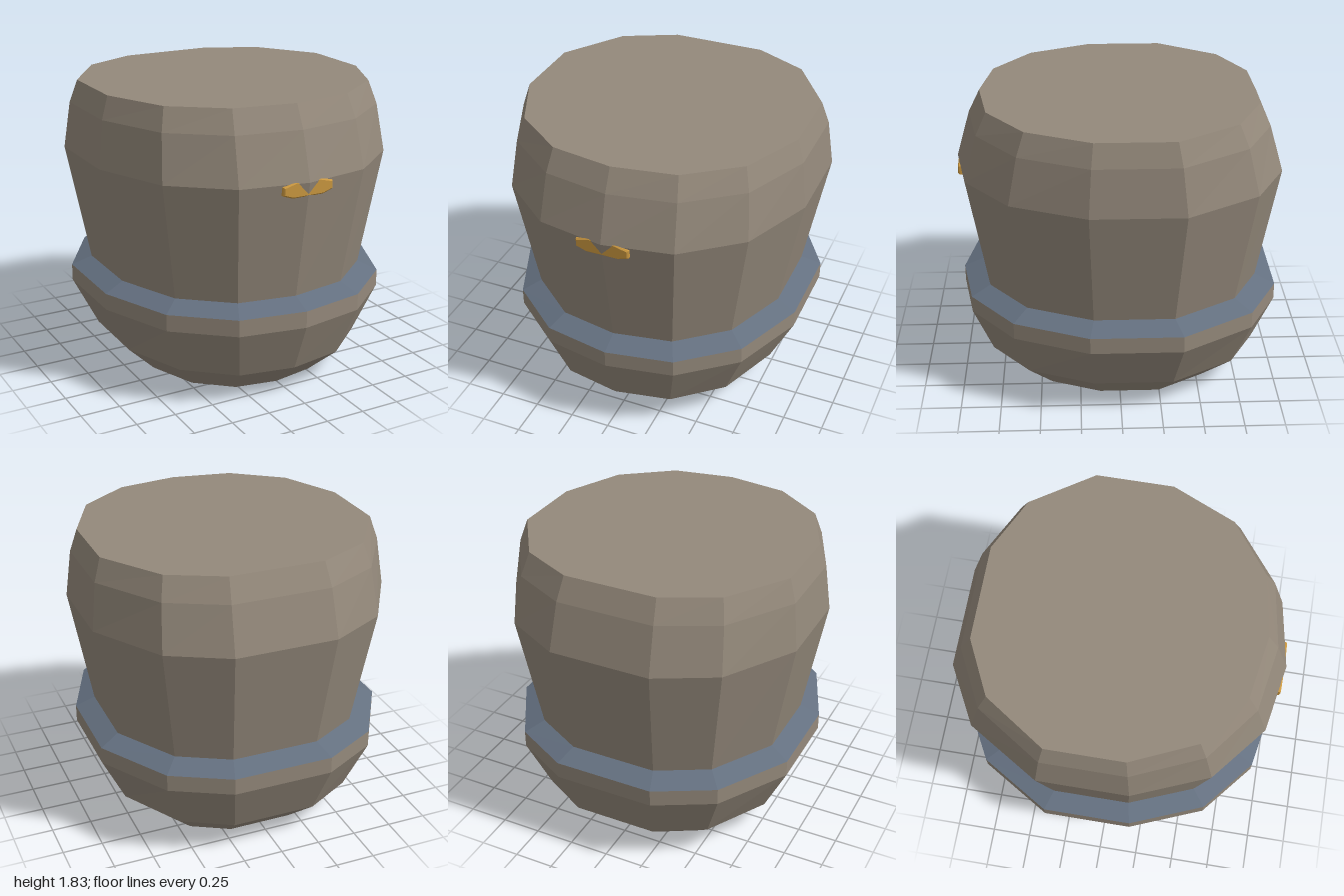
import * as THREE from 'three';

// Half outline of the thirteen-sided section, from the front (+z) round to the back: [x, z]
const half = [[0.42, 0.925], [0.76, 0.65], [0.95, 0.19], [0.95, -0.37], [0.68, -0.81], [0.32, -1]];
const outline = [[0, 1], ...half, ...half.slice().reverse().map(([x, z]) => [-x, z])];

// Faceted shell through rows of [y, x scale, z scale], from bottom to top
function loft(rows, capBottom, capTop) {
  const pos = [];
  const n = outline.length;
  const point = ([y, sx, sz], i) => [outline[i % n][0] * sx, y, outline[i % n][1] * sz];
  for (let r = 0; r < rows.length - 1; r++) {
    for (let i = 0; i < n; i++) {
      const a = point(rows[r], i), b = point(rows[r], i + 1);
      const c = point(rows[r + 1], i + 1), d = point(rows[r + 1], i);
      pos.push(...a, ...b, ...c, ...a, ...c, ...d);
    }
  }
  const last = rows[rows.length - 1];
  for (let i = 0; i < n; i++) {
    if (capBottom) pos.push(0, rows[0][0], 0, ...point(rows[0], i + 1), ...point(rows[0], i));
    if (capTop) pos.push(0, last[0], 0, ...point(last, i), ...point(last, i + 1));
  }
  const geometry = new THREE.BufferGeometry();
  geometry.setAttribute('position', new THREE.Float32BufferAttribute(pos, 3));
  geometry.computeVertexNormals();
  return geometry;
}

export function createModel() {
  const model = new THREE.Group();
  const material = (name, color) => {
    const m = new THREE.MeshStandardMaterial({ color });
    m.name = name;
    return m;
  };
  const brown = material('warm grey brown', 0x94897b);
  const blue = material('slate blue', 0x647080);
  const gold = material('gold', 0xcb9840);

  const add = (name, geometry, mat) => {
    const mesh = new THREE.Mesh(geometry, mat);
    mesh.name = name;
    model.add(mesh);
    return mesh;
  };

  // Rounded base with a short upright rim
  add('base', loft([[0, 0.63, 0.665], [0.185, 0.825, 0.875], [0.5, 0.985, 1], [0.605, 0.985, 1]], true, false), brown);

  // Sloping collar between base and upper body
  add('collar', loft([[0.605, 0.985, 1], [0.66, 0.858, 0.875]], false, false), blue);

  // Flared upper body with a flat top
  add('upperBody', loft([[0.66, 0.858, 0.875], [1.4, 1, 1], [1.69, 0.963, 0.915], [1.83, 0.916, 0.845]], false, true), brown);

  // Small bevelled plate, pierced by the front ridge of the body
  const s = new THREE.Shape([
    [-0.1, 1.323], [0.1, 1.323], [0.157, 1.343], [0.157, 1.383],
    [0.08, 1.403], [-0.08, 1.403], [-0.157, 1.383], [-0.157, 1.343],
  ].map(([x, y]) => new THREE.Vector2(x, y)));
  const plate = new THREE.ExtrudeGeometry(s, {
    depth: 0.02, bevelEnabled: true, bevelSize: 0.008, bevelThickness: 0.008, bevelSegments: 1,
  });
  add('frontPlate', plate, gold).position.z = 0.96;

  return model;
}
